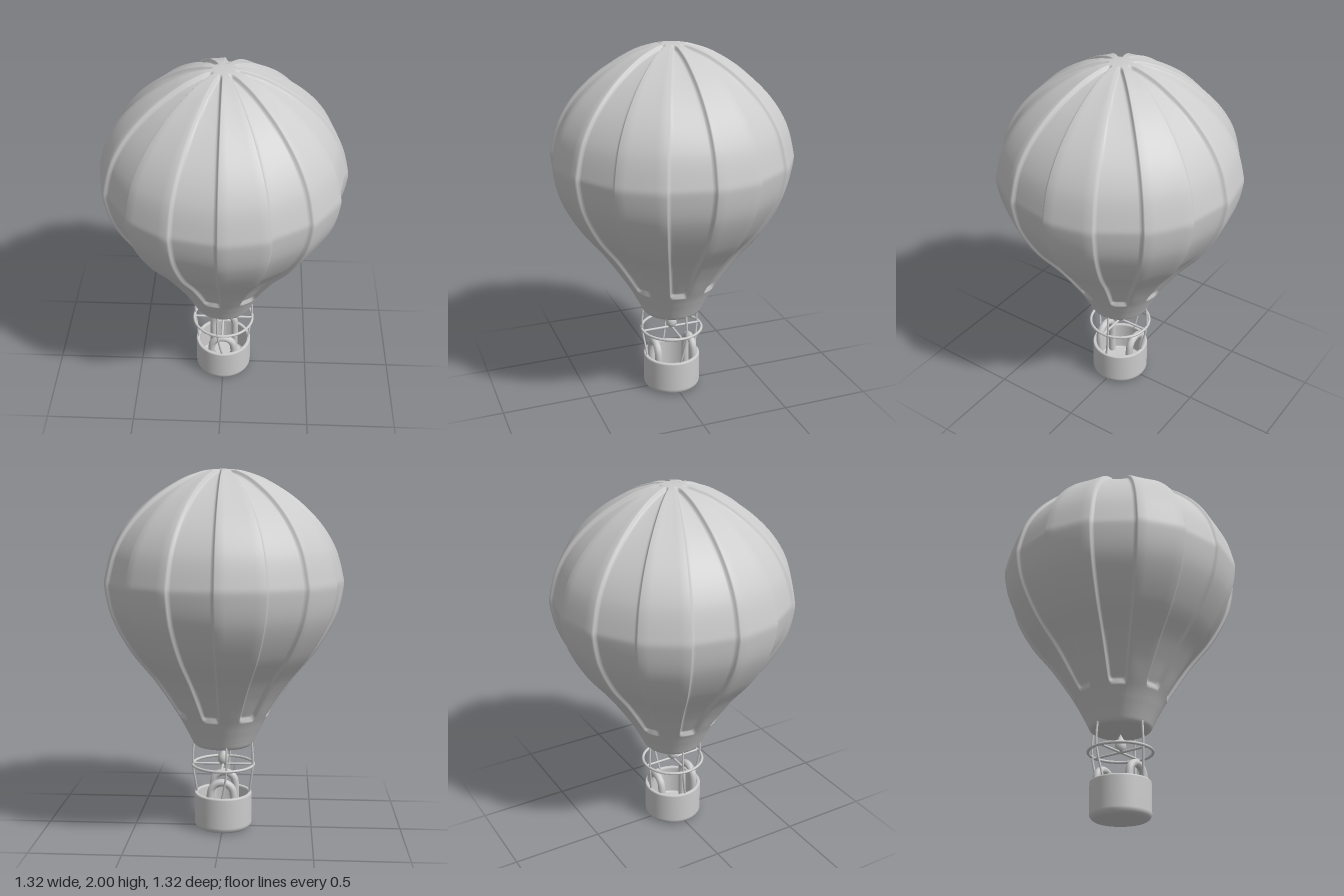
import * as THREE from 'three';

const material = new THREE.MeshStandardMaterial({ color: 0xcccccc, side: THREE.DoubleSide });
const v2 = (x, y) => new THREE.Vector2(x, y);
const v3 = (x, y, z) => new THREE.Vector3(x, y, z);
const smooth = THREE.MathUtils.smoothstep;

function addMesh(parent, name, geometry) {
  const mesh = new THREE.Mesh(geometry, material);
  mesh.name = name;
  parent.add(mesh);
  return mesh;
}

function tube(points, radius, segments = 24) {
  return new THREE.TubeGeometry(new THREE.CatmullRomCurve3(points), segments, radius, 10);
}

// Envelope: a revolved profile with eight recessed gores between eight raised ones
function envelopeGeometry() {
  const profile = new THREE.SplineCurve([
    [0, 2], [0.06, 1.998], [0.13, 1.985], [0.24, 1.942], [0.39, 1.847], [0.52, 1.722],
    [0.607, 1.585], [0.65, 1.44], [0.655, 1.36], [0.618, 1.206], [0.522, 1.03],
    [0.39, 0.862], [0.262, 0.672], [0.21, 0.58], [0.177, 0.515], [0.164, 0.49],
    [0.142, 0.48], [0.07, 0.479], [0, 0.479],
  ].map(([r, y]) => v2(r, y)));
  const rows = 170;
  const length = profile.getLength();

  // Sample angles, denser beside the steps of the recessed gores
  const raised = [0, 0.2, 0.4, 0.6, 0.8];
  const half = [0, 0.03, 0.06, 0.1, 0.16, 0.25, 0.37];
  const recessed = [...half, 0.5, ...half.slice(1).reverse().map((u) => 1 - u)];
  const columns = [];
  for (let k = 0; k < 8; k++) {
    raised.forEach((u) => columns.push({ u, gore: 2 * k, deep: false }));
    recessed.forEach((u) => columns.push({ u, gore: 2 * k + 1, deep: true }));
  }

  // Arc lengths where the recesses start and end
  const points = profile.getSpacedPoints(rows);
  const step = length / rows;
  const slotTop = step * points.findIndex((p) => p.x > 0.052);
  const slotEnd = step * points.findIndex((p) => p.y < 0.66);

  const positions = [], index = [];
  const n = columns.length, goreAngle = Math.PI / 8, corner = 0.025;
  for (let i = 0; i <= rows; i++) {
    const p = points[i];
    const t = profile.getTangentAt(i / rows);
    const s = i * step;
    const along = Math.min(s - slotTop, slotEnd - s);
    const flat = 0.015 * smooth(along, 0, 0.15);
    for (const { u, gore, deep } of columns) {
      const angle = (gore + u) * goreAngle;
      let push = -flat * p.x * 4 * u * (1 - u);
      if (deep && along > 0) {
        // Distance to the recess border, rounded at its corners
        const across = Math.min(u, 1 - u) * goreAngle * p.x;
        const c = Math.min(corner, 0.5 * goreAngle * p.x);
        const d = c - Math.hypot(Math.max(c - across, 0), Math.max(c - along, 0));
        push -= 0.018 * smooth(d, 0, 0.015);
      }
      const r = p.x - t.y * push;
      positions.push(r * Math.sin(angle), p.y + t.x * push, r * Math.cos(angle));
    }
  }
  for (let i = 0; i < rows; i++) {
    for (let j = 0; j < n; j++) {
      const a = i * n + j, d = i * n + (j + 1) % n;
      index.push(a, a + n, d + n, a, d + n, d);
    }
  }
  const geometry = new THREE.BufferGeometry();
  geometry.setAttribute('position', new THREE.Float32BufferAttribute(positions, 3));
  geometry.setIndex(index);
  geometry.computeVertexNormals();
  return geometry;
}

export function createModel() {
  const model = new THREE.Group();
  model.name = 'hotAirBalloon';

  addMesh(model, 'envelope', envelopeGeometry());

  // Open basket with rounded bottom and rim
  addMesh(model, 'basket', new THREE.LatheGeometry([
    [0, 0.002], [0.13, 0.002], [0.142, 0.004], [0.154, 0.012], [0.161, 0.024], [0.162, 0.035],
    [0.162, 0.195], [0.161, 0.201], [0.157, 0.205], [0.146, 0.205], [0.142, 0.201], [0.141, 0.195],
    [0.141, 0.04], [0.139, 0.032], [0.13, 0.03], [0, 0.03],
  ].map(([x, y]) => v2(x, y)), 64));

  // Arched handles at the front and back of the basket
  for (const [name, z] of [['frontArch', 0.103], ['backArch', -0.11]]) {
    const path = [v3(-0.064, 0.04, z), v3(-0.064, 0.13, z), v3(-0.064, 0.22, z)];
    for (let k = 1; k < 6; k++) {
      const a = Math.PI * (1 - k / 6);
      path.push(v3(0.064 * Math.cos(a), 0.222 + 0.064 * Math.sin(a), z));
    }
    path.push(v3(0.064, 0.22, z), v3(0.064, 0.13, z), v3(0.064, 0.04, z));
    addMesh(model, name, tube(path, 0.021, 48));
  }

  // Burner ring with crossed bars
  const frame = new THREE.Group();
  frame.name = 'burnerFrame';
  frame.position.y = 0.365;
  model.add(frame);
  addMesh(frame, 'ring', new THREE.TorusGeometry(0.172, 0.008, 10, 64)).rotation.x = Math.PI / 2;
  for (const turn of [0, Math.PI / 2]) {
    const bar = addMesh(frame, 'crossBar', new THREE.CylinderGeometry(0.007, 0.007, 0.344, 10));
    bar.rotation.set(Math.PI / 2, 0, turn);
  }

  // Burner with a pointed flame
  addMesh(model, 'burner', new THREE.LatheGeometry([
    [0, 0.36], [0.015, 0.362], [0.026, 0.375], [0.031, 0.392], [0.029, 0.41],
    [0.021, 0.428], [0.012, 0.443], [0.005, 0.457], [0, 0.466],
  ].map(([x, y]) => v2(x, y)), 24));

  // Ropes from the basket rim past the ring to the envelope mouth
  for (const side of [1, -1]) {
    const ropePath = (x, z) => [
      [0.146, 0.19, 0], [0.155, 0.26, 0.014], [0.166, 0.34, 0.026], [0.168, 0.42, 0.03], [0.162, 0.5, 0.027],
    ].map(([out, y, sway]) => v3(x ? side * out : -sway, y, z ? side * out : -sway));
    addMesh(model, side > 0 ? 'leftRope' : 'rightRope', tube(ropePath(1, 0), 0.006));
    addMesh(model, side > 0 ? 'frontRope' : 'backRope', tube(ropePath(0, 1), 0.006));
  }
  return model;
}
